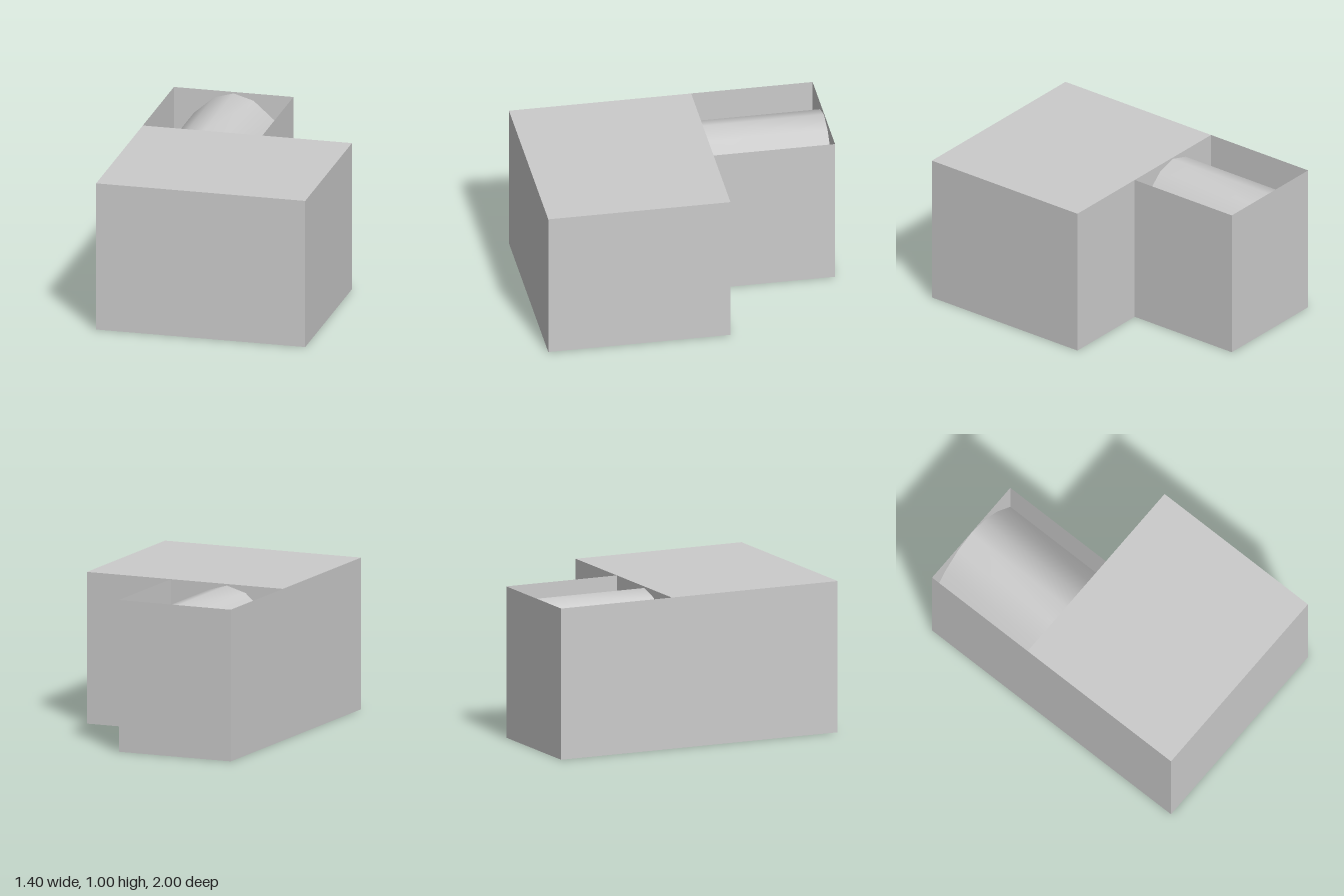
import * as THREE from 'three';

export function createModel() {
  const group = new THREE.Group();
  const solid = new THREE.MeshStandardMaterial({ color: 0xcccccc });
  const thin = new THREE.MeshStandardMaterial({ color: 0xcccccc, side: THREE.DoubleSide });

  const add = (name, geometry, material, x, y, z) => {
    const mesh = new THREE.Mesh(geometry, material);
    mesh.name = name;
    mesh.position.set(x, y, z);
    group.add(mesh);
    return mesh;
  };

  // Main hall: closed block at the front
  add('mainBlock', new THREE.BoxGeometry(1.4, 1, 1.2), solid, 0, 0.5, 0.4);

  // Rear wing: thin walls and floor, open at the top
  const wing = 0.8, cx = -0.3, cz = -0.6;
  add('wingBackWall', new THREE.PlaneGeometry(wing, 1).rotateY(Math.PI), thin, cx, 0.5, cz - wing / 2);
  for (const side of [-1, 1]) {
    const wall = new THREE.PlaneGeometry(wing, 1).rotateY(side * Math.PI / 2);
    add(side < 0 ? 'wingRightWall' : 'wingLeftWall', wall, thin, cx + side * wing / 2, 0.5, cz);
  }
  add('wingFloor', new THREE.PlaneGeometry(wing, wing).rotateX(Math.PI / 2), thin, cx, 0, cz);

  // Vaulted roof sunk between the wing walls: parabolic arch in six strips
  const vault = new THREE.PlaneGeometry(wing, wing, 6, 1).rotateX(-Math.PI / 2);
  const p = vault.attributes.position;
  for (let i = 0; i < p.count; i++) {
    const u = p.getX(i) / (wing / 2);
    p.setY(i, 0.99 - 0.35 * u * u);
  }
  vault.computeVertexNormals();
  add('vaultedRoof', vault, thin, cx, 0, cz);

  return group;
}
